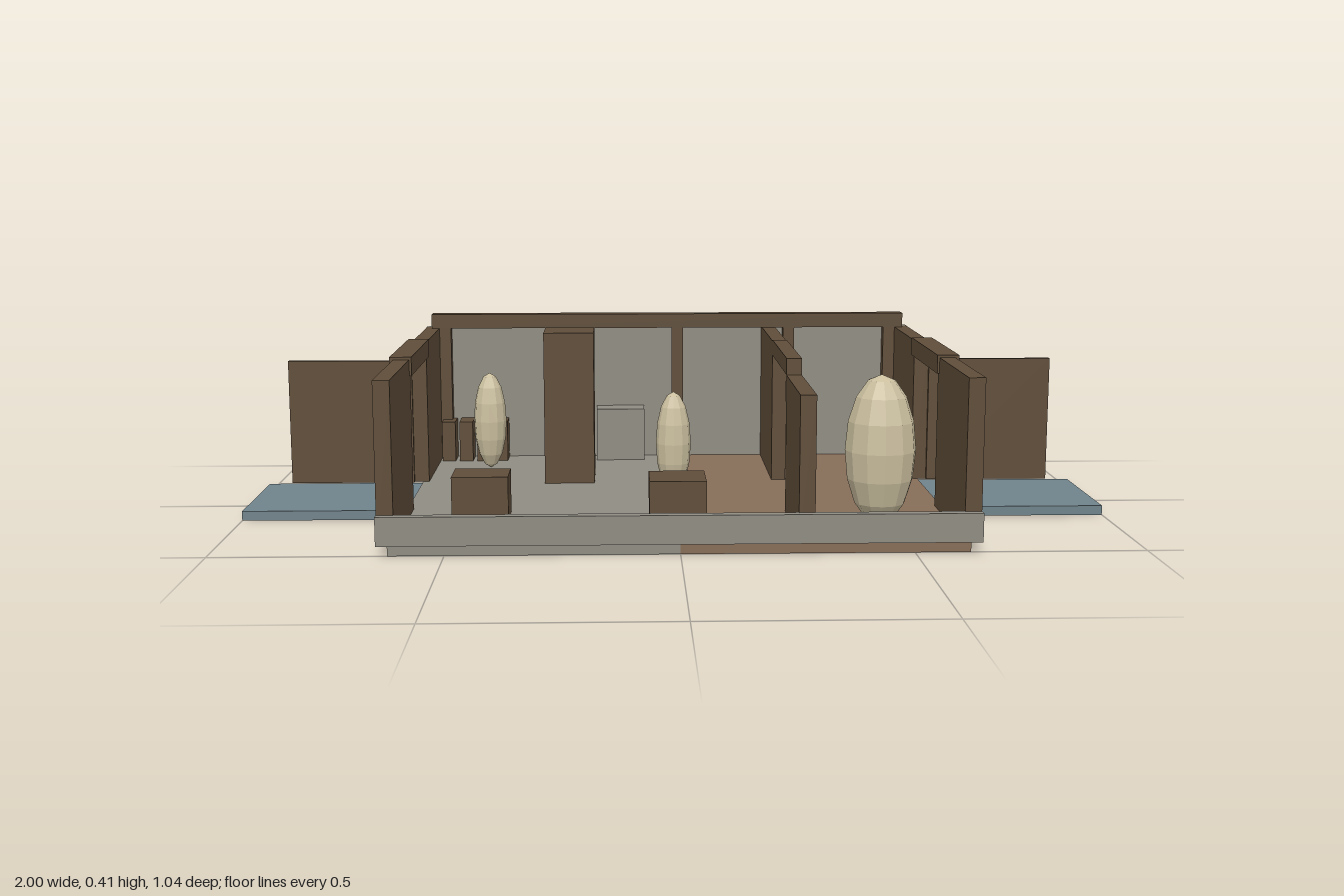
import * as THREE from 'three';

const mat = (name, color) => Object.assign(new THREE.MeshStandardMaterial({ color }), { name });

export function createModel() {
  const wood = mat('dark wood', 0x5f4d39);
  const stone = mat('grey stone', 0x8f8c82);
  const plank = mat('brown floor', 0x866d58);
  const slate = mat('blue slate', 0x70838b);
  const cream = mat('cream', 0xcbbf9f);
  cream.flatShading = true;

  const model = new THREE.Group();
  model.name = 'house';

  // Box given by its extents on each axis
  const box = (name, material, [x0, x1], [y0, y1], [z0, z1]) => {
    const mesh = new THREE.Mesh(new THREE.BoxGeometry(x1 - x0, y1 - y0, z1 - z0), material);
    mesh.position.set((x0 + x1) / 2, (y0 + y1) / 2, (z0 + z1) / 2);
    mesh.name = name;
    model.add(mesh);
  };
  const F = 0.025; // floor level

  // Two-tone floor
  box('stoneFloor', stone, [-0.62, 0], [0, F], [-0.5, 0.5]);
  box('plankFloor', plank, [0, 0.62], [0, F], [-0.5, 0.5]);

  // Back wall with top beam and posts, low front wall
  box('backWall', stone, [-0.642, 0.642], [F, 0.375], [-0.518, -0.495]);
  box('frontParapet', stone, [-0.642, 0.642], [F, 0.088], [0.495, 0.518]);
  box('backBeam', wood, [-0.625, 0.625], [0.375, 0.412], [-0.5, -0.463]);
  for (const x of [-0.59, -0.287, 0.025, 0.322, 0.59]) {
    box('backPost', wood, [x - 0.015, x + 0.015], [F, 0.375], [-0.495, -0.467]);
  }

  // Mirrored side walls, lintels, open doors and porches
  for (const s of [-1, 1]) {
    const span = (a, b) => (s > 0 ? [a, b] : [-b, -a]);
    box('sideWallFront', wood, span(0.605, 0.641), [F, 0.375], [0.157, 0.5]);
    box('sideWallBack', wood, span(0.605, 0.641), [F, 0.375], [-0.495, -0.157]);
    box('doorLintel', wood, span(0.6, 0.65), [0.338, 0.381], [-0.174, 0.174]);
    box('openDoor', wood, span(0.641, 0.943), [F, 0.33], [-0.163, -0.149]);
    box('porch', slate, span(0.62, 1), [0, 0.022], [-0.156, 0.156]);
  }

  // Partition with a doorway
  box('partitionFront', wood, [0.251, 0.286], [F, 0.34], [0.2, 0.5]);
  box('partitionBack', wood, [0.251, 0.286], [F, 0.375], [-0.495, -0.155]);
  box('partitionLintel', wood, [0.251, 0.286], [0.34, 0.378], [-0.155, 0.2]);

  // Furniture
  box('cabinet', wood, [-0.315, -0.192], [F, 0.4], [-0.25, -0.126]);
  box('crate', wood, [-0.505, -0.378], [F, 0.125], [-0.285 + 0.47, 0.285]);
  box('chest', wood, [-0.064, 0.06], [F, 0.138], [0.288, 0.408]);
  box('stoneBlock', stone, [-0.19, -0.064], [F, 0.162], [-0.495, -0.43]);
  for (let i = 0; i < 4; i++) {
    const x = -0.6 + i * 0.046;
    box('smallBox', wood, [x, x + 0.035], [F, 0.13], [-0.495, -0.426]);
  }

  // Standing egg-shaped figures
  for (const [x, z, r, h] of [[0, 0, 0.042, 0.248], [-0.465, -0.34, 0.042, 0.248], [0.447, 0.336, 0.079, 0.335]]) {
    const egg = new THREE.Mesh(new THREE.SphereGeometry(1, 12, 8), cream);
    egg.scale.set(r, h / 2, r);
    egg.position.set(x, F + h / 2, z);
    egg.name = 'eggFigure';
    model.add(egg);
  }
  return model;
}
